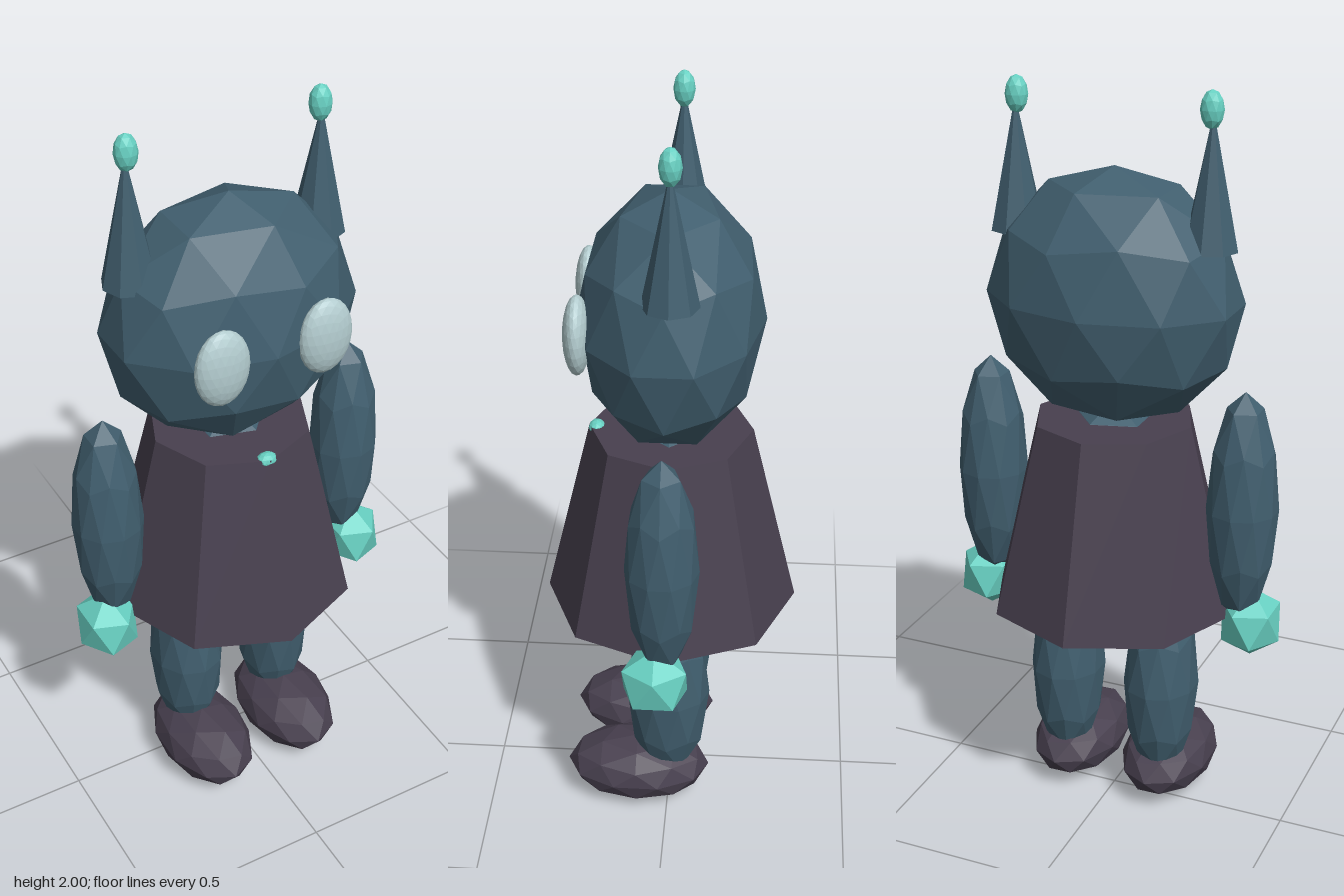
import * as THREE from 'three';

const flat = (name, color) => {
  const m = new THREE.MeshStandardMaterial({ color, flatShading: true });
  m.name = name;
  return m;
};

// Icosphere standing on a corner: two rings of five between two poles.
function icosphere(detail) {
  const ring = (y, start) => Array.from({ length: 5 }, (_, k) => {
    const a = THREE.MathUtils.degToRad(start - 72 * k);
    return [0.8944 * Math.cos(a), y, -0.8944 * Math.sin(a)];
  });
  const points = [[0, -1, 0], ...ring(-0.4472, -36), ...ring(0.4472, -72), [0, 1, 0]];
  const faces = [];
  for (let k = 0; k < 5; k++) {
    const low = 1 + k, nextLow = 1 + (k + 1) % 5;
    const up = 6 + k, prevUp = 6 + (k + 4) % 5;
    faces.push(0, low, nextLow, nextLow, low, up, low, prevUp, up, up, prevUp, 11);
  }
  return new THREE.PolyhedronGeometry(points.flat(), faces, 1, detail);
}

export function createModel() {
  const model = new THREE.Group();
  model.name = 'hornedFigure';

  const skin = flat('slate blue', 0x415f6f);
  const cloth = flat('dusky purple', 0x48404f);
  const glow = flat('teal', 0x68d0c2);
  const eyeWhite = flat('pale blue', 0xb4cdd0);

  const add = (name, geometry, material, pos) => {
    const mesh = new THREE.Mesh(geometry, material);
    mesh.name = name;
    mesh.position.set(...pos);
    model.add(mesh);
    return mesh;
  };
  const blob = (name, material, detail, pos, radii) =>
    add(name, icosphere(detail), material, pos).scale.set(...radii);

  // Head, torso and gown
  blob('head', skin, 1, [0, 1.455, 0], [0.344, 0.338, 0.24]);
  blob('torso', skin, 1, [0, 0.85, 0], [0.2, 0.33, 0.17]);
  add('gown', new THREE.CylinderGeometry(0.215, 0.34, 0.52, 8), cloth, [0, 0.87, 0]);
  blob('clasp', glow, 1, [0, 1.122, 0.195], [0.028, 0.02, 0.022]);

  // Paired parts, model's left (+x) and right (-x)
  for (const [side, s] of [['left', 1], ['right', -1]]) {
    add(side + 'Horn', new THREE.ConeGeometry(0.071, 0.34, 8), skin, [s * 0.262, 1.78, -0.015]);
    blob(side + 'HornTip', glow, 1, [s * 0.258, 1.952, -0.015], [0.03, 0.048, 0.028]);
    blob(side + 'Eye', eyeWhite, 3, [s * 0.143, 1.465, 0.222], [0.074, 0.105, 0.035]);

    blob(side + 'Arm', skin, 1, [s * 0.36, 0.927, 0], [0.095, 0.322, 0.095]);
    blob(side + 'Hand', glow, 0, [s * 0.387, 0.595, 0.018], [0.089, 0.1, 0.098]);

    blob(side + 'Leg', skin, 1, [s * 0.14, 0.365, 0], [0.102, 0.3, 0.115]);
    blob(side + 'Shoe', cloth, 1, [s * 0.137, 0.095, 0.085], [0.127, 0.095, 0.2]);
  }
  return model;
}
